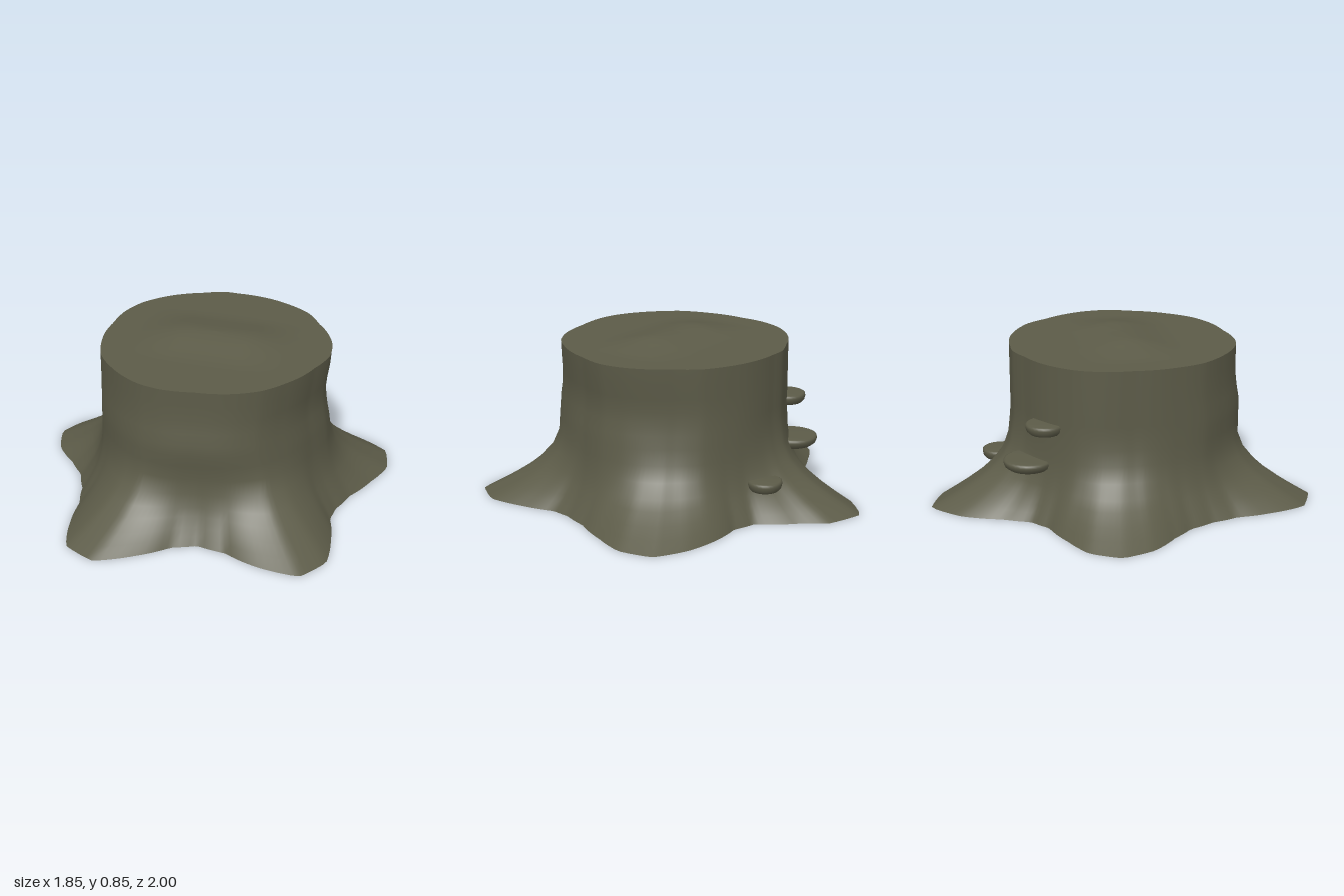
import * as THREE from 'three';

const CX = 0.04, CZ = 0.03, SEGMENTS = 180;

// Outlines as x, z pairs: the star of root tips, and the sawn rim
const ROOTS = [-0.15, -1, 0.04, -0.93, 0.12, -0.82, 0.27, -0.63, 0.39, -0.585, 0.73, -0.55, 0.89, -0.455,
  0.93, -0.28, 0.87, -0.11, 0.79, 0.06, 0.745, 0.2, 0.735, 0.3, 0.78, 0.48, 0.8, 0.68, 0.7, 0.83,
  0.48, 0.815, 0.3, 0.75, 0.15, 0.73, 0.03, 0.78, -0.12, 0.9, -0.31, 1, -0.48, 0.92, -0.54, 0.72,
  -0.56, 0.54, -0.6, 0.4, -0.66, 0.27, -0.75, 0.17, -0.875, 0.04, -0.93, -0.13, -0.85, -0.28,
  -0.7, -0.36, -0.52, -0.43, -0.43, -0.51, -0.37, -0.65, -0.29, -0.86];
const RIM = [0, -0.55, 0.12, -0.545, 0.3, -0.49, 0.43, -0.41, 0.51, -0.3, 0.63, -0.08, 0.645, 0.05,
  0.6, 0.2, 0.5, 0.4, 0.41, 0.505, 0.3, 0.57, 0.1, 0.615, -0.07, 0.632, -0.18, 0.61, -0.37, 0.485,
  -0.47, 0.37, -0.52, 0.23, -0.54, 0, -0.53, -0.15, -0.48, -0.28, -0.35, -0.42, -0.2, -0.5, -0.08, -0.55];

// Turns an outline into a function giving the radius at any angle
function polar(outline) {
  const pts = [];
  for (let i = 0; i < outline.length; i += 2) {
    const x = outline[i] - CX, z = outline[i + 1] - CZ;
    const a = Math.atan2(z, x), r = Math.hypot(x, z);
    for (const turn of [-1, 0, 1]) pts.push([a + turn * 2 * Math.PI, r]);
  }
  pts.sort((p, q) => p[0] - q[0]);
  return (angle) => {
    const k = pts.findIndex((p) => p[0] > angle);
    const [a0, r0] = pts[k - 1], [a1, r1] = pts[k];
    return r0 + (r1 - r0) * (angle - a0) / (a1 - a0);
  };
}

// Skins closed loops of points; place(ring, angle) returns [x, y, z]
function loft(rings, place) {
  const pos = [], index = [];
  rings.forEach((ring, r) => {
    for (let i = 0; i < SEGMENTS; i++) {
      pos.push(...place(ring, (i / SEGMENTS) * Math.PI * 2 - Math.PI));
      if (r === rings.length - 1) continue;
      const a = r * SEGMENTS + i, b = r * SEGMENTS + (i + 1) % SEGMENTS;
      index.push(a, a + SEGMENTS, b, b, a + SEGMENTS, b + SEGMENTS);
    }
  });
  const geo = new THREE.BufferGeometry();
  geo.setAttribute('position', new THREE.Float32BufferAttribute(pos, 3));
  geo.setIndex(index);
  geo.computeVertexNormals();
  return geo;
}

const bump = (y, centre, width) => Math.exp(-(((y - centre) / width) ** 2));

export function createModel() {
  const group = new THREE.Group();
  group.name = 'treeStump';
  const wood = new THREE.MeshStandardMaterial({ color: 0x5c5b48 });
  wood.name = 'mossyWood';
  const add = (name, geo) => {
    const mesh = new THREE.Mesh(geo, wood);
    mesh.name = name;
    group.add(mesh);
    return mesh;
  };
  const rootRadius = polar(ROOTS), rimRadius = polar(RIM);

  // Bark: [height, share of root flare], with a waist on the left and a bulge in front
  const flare = [[0, 1], [0.04, 0.81], [0.08, 0.63], [0.13, 0.43], [0.175, 0.29], [0.24, 0.14],
    [0.32, 0.05], [0.4, 0.02], [0.46, 0], [0.52, 0], [0.58, 0], [0.65, 0], [0.73, 0], [0.81, 0]];
  add('trunkAndRoots', loft(flare, ([y, w], a) => {
    const r = THREE.MathUtils.lerp(rimRadius(a), rootRadius(a), w);
    return [
      CX + r * Math.cos(a) - 0.025 * bump(y, 0.58, 0.13) * Math.max(0, Math.cos(a)),
      y,
      CZ + r * Math.sin(a) + 0.026 * bump(y, 0.48, 0.11) * Math.max(0, Math.sin(a)),
    ];
  }));

  // Sawn top: flat edge and a low raised ridge in the middle
  const topRings = Array.from({ length: 13 }, (_, i) => 1 - i / 12);
  add('sawnTop', loft(topRings, (s, a) => {
    const r = rimRadius(a) * s, x = CX + r * Math.cos(a), z = CZ + r * Math.sin(a);
    const along = THREE.MathUtils.clamp(1 - (Math.abs(x - 0.04) - 0.18) / 0.24, 0, 1);
    const across = THREE.MathUtils.smoothstep(1 - Math.abs(z - 0.04) / 0.3, 0, 1);
    return [x, 0.81 + 0.045 * along * across, z];
  }));

  // Underside: flat on the ground
  add('underside', loft([0, 1], (s, a) => {
    const r = rootRadius(a) * s;
    return [CX + r * Math.cos(a), 0, CZ + r * Math.sin(a)];
  }));

  // Shelf fungi: [x, y, z, radius], flat-topped with a rounded belly
  const profile = [[0, -0.035], [0.5, -0.034], [0.8, -0.025], [0.95, -0.008], [1, 0.015], [0.98, 0.028],
    [0.9, 0.033], [0, 0.035]].map(([r, y]) => new THREE.Vector2(r, y));
  const shelf = new THREE.LatheGeometry(profile, 28);
  for (const [x, y, z, r] of [[-0.29, 0.27, -0.5, 0.13], [-0.35, 0.475, -0.42, 0.1], [0.155, 0.17, -0.61, 0.09]]) {
    const fungus = add('shelfFungus', shelf);
    fungus.position.set(x, y, z);
    fungus.scale.set(r, 0.9, r);
  }
  return group;
}
